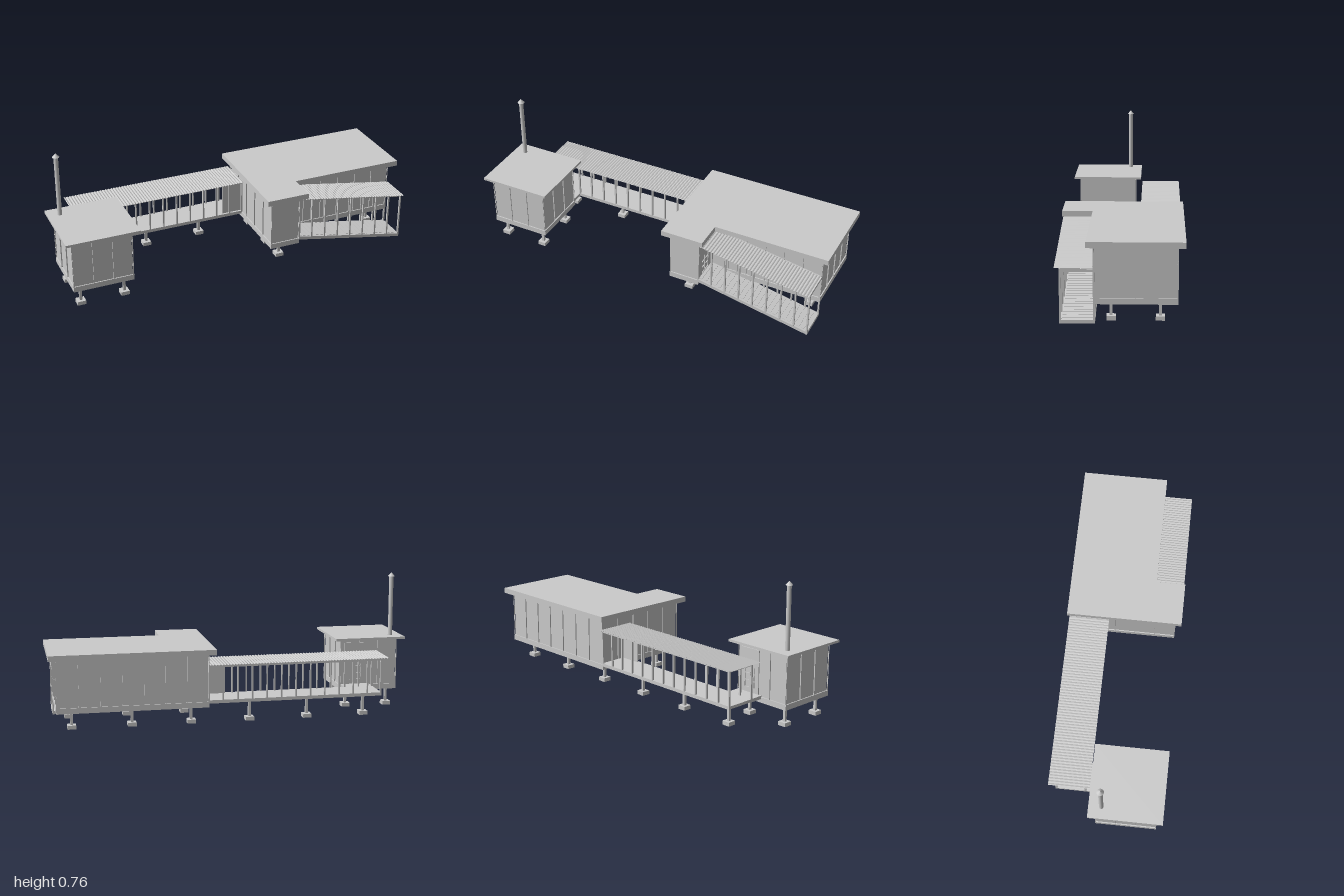
import * as THREE from 'three';

const grey = new THREE.MeshStandardMaterial({ color: 0xcccccc, flatShading: true });
const smooth = new THREE.MeshStandardMaterial({ color: 0xcccccc });
const thin = new THREE.MeshStandardMaterial({ color: 0xcccccc, flatShading: true, side: THREE.DoubleSide });

function add(parent, name, geometry, material = grey) {
  const mesh = new THREE.Mesh(geometry, material);
  mesh.name = name;
  parent.add(mesh);
  return mesh;
}

function group(parent, name) {
  const g = new THREE.Group();
  g.name = name;
  parent.add(g);
  return g;
}

// Box given by its limits on each axis
function box(parent, name, x0, x1, y0, y1, z0, z1) {
  return add(parent, name, new THREE.BoxGeometry(x1 - x0, y1 - y0, z1 - z0)
    .translate((x0 + x1) / 2, (y0 + y1) / 2, (z0 + z1) / 2));
}

// Flat slab over a floor plan of [x, z] corners
function slab(parent, name, plan, y0, y1) {
  const shape = new THREE.Shape(plan.map(([x, z]) => new THREE.Vector2(x, -z)));
  const geo = new THREE.ExtrudeGeometry(shape, { depth: y1 - y0, bevelEnabled: false });
  return add(parent, name, geo.rotateX(-Math.PI / 2).translate(0, y0, 0));
}

// Beam along x whose ends may differ in height
function beam(parent, name, x0, y0, x1, y1, h, z0, z1) {
  const shape = new THREE.Shape([[x0, y0 - h], [x1, y1 - h], [x1, y1], [x0, y0]]
    .map(p => new THREE.Vector2(...p)));
  const geo = new THREE.ExtrudeGeometry(shape, { depth: z1 - z0, bevelEnabled: false });
  return add(parent, name, geo.translate(0, 0, z0));
}

// Thin sheet following a height rule
function sheet(parent, name, x0, x1, z0, z1, steps, height) {
  const geo = new THREE.PlaneGeometry(x1 - x0, z1 - z0, steps, 1).rotateX(-Math.PI / 2);
  geo.translate((x0 + x1) / 2, 0, (z0 + z1) / 2);
  const p = geo.attributes.position;
  for (let i = 0; i < p.count; i++) p.setY(i, height(p.getX(i)));
  geo.computeVertexNormals();
  return add(parent, name, geo, thin);
}

const pitch = 0.016;
const wave = (x) => 0.002 * Math.sin(x * 2 * Math.PI / pitch);

// Covered frame: two rows of posts, rails, cross members, floor and corrugated roof
function coveredFrame(parent, name, o) {
  const g = group(parent, name);
  const { x0, x1, z0, z1, floor, roof } = o;
  const t = 0.01;
  for (const z of [z0, z1 - t]) {
    beam(g, 'floorRail', x0, floor(x0), x1, floor(x1), 0.018, z, z + t);
    beam(g, 'roofRail', x0, roof(x0), x1, roof(x1), 0.015, z, z + t);
  }
  const zm = (z0 + z1) / 2;
  beam(g, 'middleJoist', x0, floor(x0) - 0.001, x1, floor(x1) - 0.001, 0.015, zm - t / 2, zm + t / 2);
  const n = Math.round((x1 - x0) / 0.08);
  for (let i = 0; i <= n; i++) {
    const x = Math.min(Math.max(x0 + i * (x1 - x0) / n, x0 + 0.004), x1 - 0.004);
    for (const z of [z0, z1 - t]) {
      box(g, 'post', x - 0.004, x + 0.004, floor(x) - 0.012, roof(x) - 0.002, z, z + t);
    }
    box(g, 'floorJoist', x - 0.004, x + 0.004, floor(x) - 0.016, floor(x) - 0.001, z0, z1);
    box(g, 'rafter', x - 0.004, x + 0.004, roof(x) - 0.015, roof(x) - 0.001, z0, z1);
  }
  sheet(g, 'floor', x0, x1, z0, z1, 1, floor);
  const [rx0, rx1, rz0, rz1] = o.cover;
  sheet(g, 'corrugatedRoof', rx0, rx1, rz0, rz1, Math.round((rx1 - rx0) / pitch * 4),
    x => roof(x) + 0.003 + wave(x));
  return g;
}

// Pier on a square footing
function pier(parent, x, z, top = 0.1) {
  const g = group(parent, 'pier');
  box(g, 'footing', x - 0.023, x + 0.023, 0, 0.021, z - 0.023, z + 0.023);
  box(g, 'pierPost', x - 0.007, x + 0.007, 0.021, top, z - 0.007, z + 0.007);
}

// Walls set back above a low skirt, with slim fins over the wall joints
const inset = 0.006;
function walls(parent, plan) {
  slab(parent, 'skirt', plan(0), 0.1, 0.13);
  slab(parent, 'walls', plan(inset), 0.13, 0.39);
  const corners = plan(inset / 2);
  corners.forEach(([x0, z0], i) => {
    const [x1, z1] = corners[(i + 1) % corners.length];
    const alongX = Math.abs(x1 - x0) > Math.abs(z1 - z0);
    const n = Math.max(1, Math.round(Math.hypot(x1 - x0, z1 - z0) / 0.11));
    for (let k = 0; k <= n; k++) {
      const x = x0 + (x1 - x0) * k / n, z = z0 + (z1 - z0) * k / n;
      const dx = alongX ? 0.0008 : inset / 2, dz = alongX ? inset / 2 : 0.0008;
      box(parent, 'fin', x - dx, x + dx, 0.13, 0.39, z - dz, z + dz);
    }
  });
}

// Door facing +x with a six-pane window
function panedDoor(parent, name, width, height) {
  const g = group(parent, name);
  const w = width / 2, s = width * 0.28;
  const shape = new THREE.Shape([[-w, 0], [w, 0], [w, height], [-w, height]]
    .map(p => new THREE.Vector2(...p)));
  const paneH = (height * 0.48) / 3;
  for (const sx of [-1, 1]) for (let r = 0; r < 3; r++) {
    const a = sx < 0 ? -s : 0.003, b = a + s - 0.003;
    const y0 = height * 0.11 + r * paneH, y1 = y0 + paneH - 0.004;
    shape.holes.push(new THREE.Path([[a, y0], [a, y1], [b, y1], [b, y0]]
      .map(p => new THREE.Vector2(...p))));
  }
  add(g, 'doorLeaf', new THREE.ExtrudeGeometry(shape, { depth: 0.005, bevelEnabled: false })
    .rotateY(Math.PI / 2));
  return g;
}

export function createModel() {
  const model = new THREE.Group();
  model.name = 'raisedCabins';

  // Main cabin with a projecting entrance bay
  const house = group(model, 'mainCabin');
  walls(house, d => [[0.155 + d, -0.286 + d], [0.963 - d, -0.286 + d], [0.963 - d, 0.125 - d],
    [0.325 - d, 0.125 - d], [0.325 - d, 0.285 - d], [0.155 + d, 0.285 - d]]);
  slab(house, 'roof', [[0.12, -0.32], [1, -0.32], [1, 0.157], [0.36, 0.157],
    [0.36, 0.317], [0.12, 0.317]], 0.387, 0.417);
  for (const x of [0.24, 0.56, 0.88]) for (const z of [-0.2, 0.04]) pier(house, x, z);
  pier(house, 0.24, 0.2);
  panedDoor(house, 'frontDoor', 0.14, 0.235).position.set(0.322, 0.12, 0.201);

  // Small cabin with a chimney
  const hut = group(model, 'smallCabin');
  walls(hut, d => [[-0.965 + d, -0.048 + d], [-0.635 - d, -0.048 + d],
    [-0.635 - d, 0.285 - d], [-0.965 + d, 0.285 - d]]);
  box(hut, 'roof', -1, -0.6, 0.39, 0.403, -0.082, 0.317);
  for (const x of [-0.92, -0.68]) for (const z of [0, 0.24]) pier(hut, x, z);
  const hutDoor = panedDoor(hut, 'backDoor', 0.12, 0.235);
  hutDoor.position.set(-0.72, 0.138, -0.044);
  hutDoor.rotation.y = Math.PI / 2;
  const chimney = group(hut, 'chimney');
  chimney.position.set(-0.935, 0, -0.013);
  add(chimney, 'flue', new THREE.CylinderGeometry(0.012, 0.012, 0.34, 20)
    .translate(0, 0.57, 0), smooth);
  add(chimney, 'cap', new THREE.ConeGeometry(0.019, 0.022, 20).translate(0, 0.749, 0), smooth);

  // Level walkway between the cabins
  const walkway = coveredFrame(model, 'walkway', {
    x0: -0.8, x1: 0.16, z0: -0.285, z1: -0.115,
    floor: () => 0.138, roof: () => 0.33, cover: [-0.832, 0.155, -0.312, -0.088],
  });
  for (const x of [-0.72, -0.4, -0.08]) pier(walkway, x, -0.2, 0.125);
  box(walkway, 'hutThreshold', -0.8, -0.64, 0.12, 0.138, -0.115, -0.045);
  box(walkway, 'openDoor', 0.04, 0.155, 0.138, 0.318, -0.132, -0.127);

  // Sloping entrance ramp beside the main cabin
  const slope = (a, b) => x => a + (b - a) * (x - 0.322) / 0.638;
  const rampFloor = slope(0.142, 0.02);
  const ramp = coveredFrame(model, 'entranceRamp', {
    x0: 0.322, x1: 0.962, z0: 0.115, z1: 0.288,
    floor: rampFloor, roof: slope(0.383, 0.274), cover: [0.322, 0.963, 0.128, 0.312],
  });
  for (let x = 0.336; x < 0.95; x += 0.027) {
    beam(ramp, 'tread', x - 0.008, rampFloor(x - 0.008) + 0.002,
      x + 0.008, rampFloor(x + 0.008) + 0.002, 0.003, 0.125, 0.275);
  }
  box(ramp, 'groundSill', 0.952, 0.962, 0.002, 0.02, 0.115, 0.288);
  return model;
}
